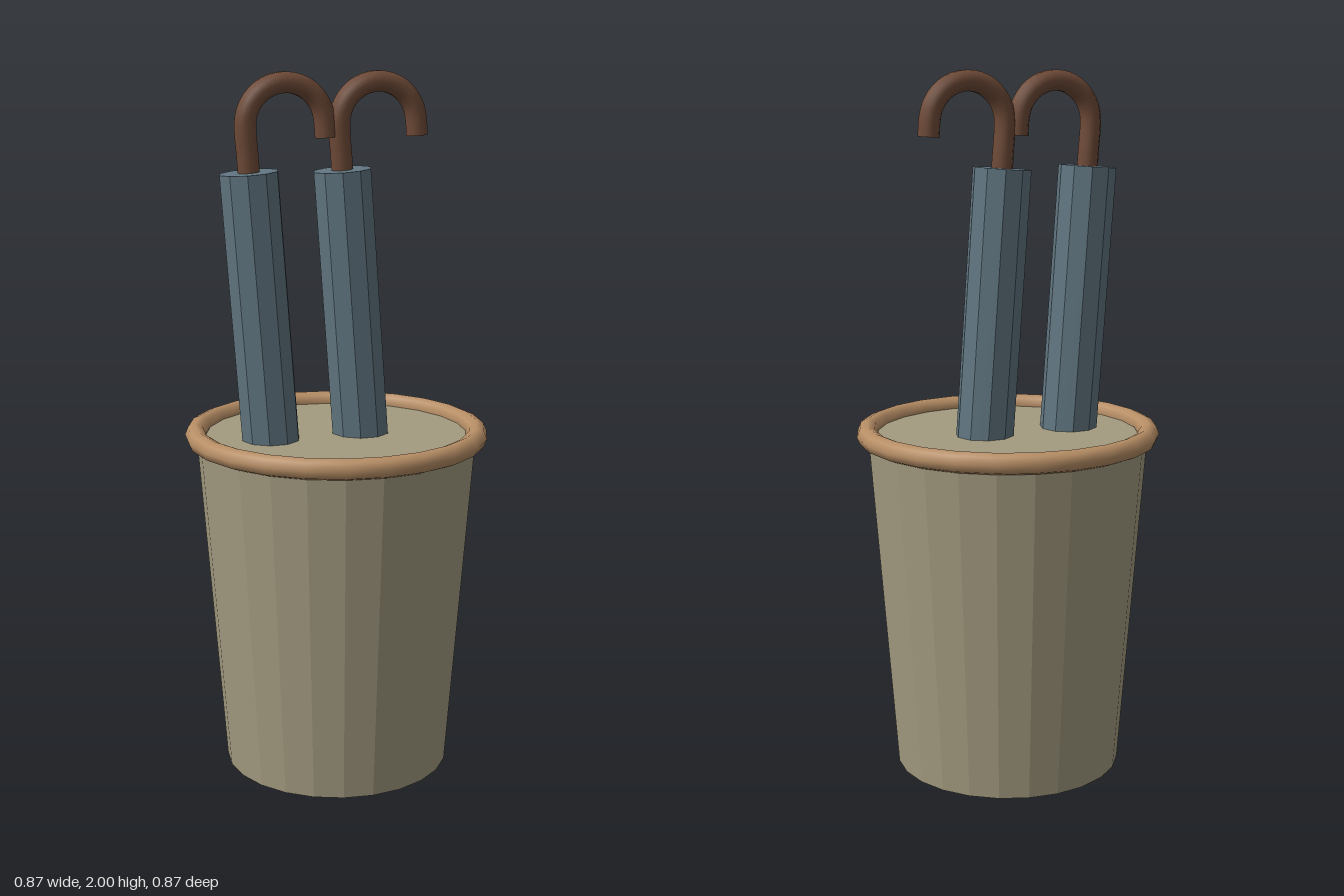
import * as THREE from 'three';

const mat = (name, color, flatShading = false) => {
  const m = new THREE.MeshStandardMaterial({ color, flatShading });
  m.name = name;
  return m;
};

export function createModel() {
  const clay = mat('clay', 0xa39b80, true);
  const tan = mat('tan rim', 0xb88f66);
  const cloth = mat('blue grey cloth', 0x607580, true);
  const wood = mat('brown wood', 0x6e4a37);

  const model = new THREE.Group();
  model.name = 'umbrellaStand';
  const add = (parent, name, geometry, material, x = 0, y = 0, z = 0) => {
    const mesh = new THREE.Mesh(geometry, material);
    mesh.name = name;
    mesh.position.set(x, y, z);
    parent.add(mesh);
    return mesh;
  };

  // Tapered bucket with a closed top and a rolled rim
  const height = 0.98;
  add(model, 'bucket', new THREE.CylinderGeometry(0.4, 0.325, height, 24), clay, 0, height / 2);
  add(model, 'rim', new THREE.TorusGeometry(0.403, 0.03, 8, 24), tan, 0, 0.983).rotation.x = Math.PI / 2;

  // Crook handle: straight shaft, half circle, short straight tip
  const R = 0.113, rise = 0.118, tip = 0.045, tube = 0.03;
  const points = [new THREE.Vector3(0, -0.05, 0), new THREE.Vector3(0, 0.04, 0)];
  for (let i = 0; i <= 10; i++) {
    const a = Math.PI * (1 - i / 10);
    points.push(new THREE.Vector3(R + R * Math.cos(a), rise + R * Math.sin(a), 0));
  }
  points.push(new THREE.Vector3(2 * R, rise - tip, 0));
  const crook = new THREE.TubeGeometry(new THREE.CatmullRomCurve3(points), 32, tube, 10);
  const crookEnd = new THREE.CircleGeometry(tube, 10).rotateX(Math.PI / 2);

  // Two leaning umbrellas; each group's origin is the top of the cloth
  const length = 1.3;
  const canopy = new THREE.CylinderGeometry(0.083, 0.083, length, 10).rotateY(Math.PI / 2);
  [['rightUmbrella', -0.251], ['leftUmbrella', 0.017]].forEach(([name, x]) => {
    const umbrella = new THREE.Group();
    umbrella.name = name;
    umbrella.position.set(x, 1.73, 0);
    umbrella.rotation.z = 0.073;
    add(umbrella, 'canopy', canopy, cloth, 0, -length / 2);
    add(umbrella, 'handle', crook, wood);
    add(umbrella, 'handleEnd', crookEnd, wood, 2 * R, rise - tip);
    model.add(umbrella);
  });

  return model;
}
